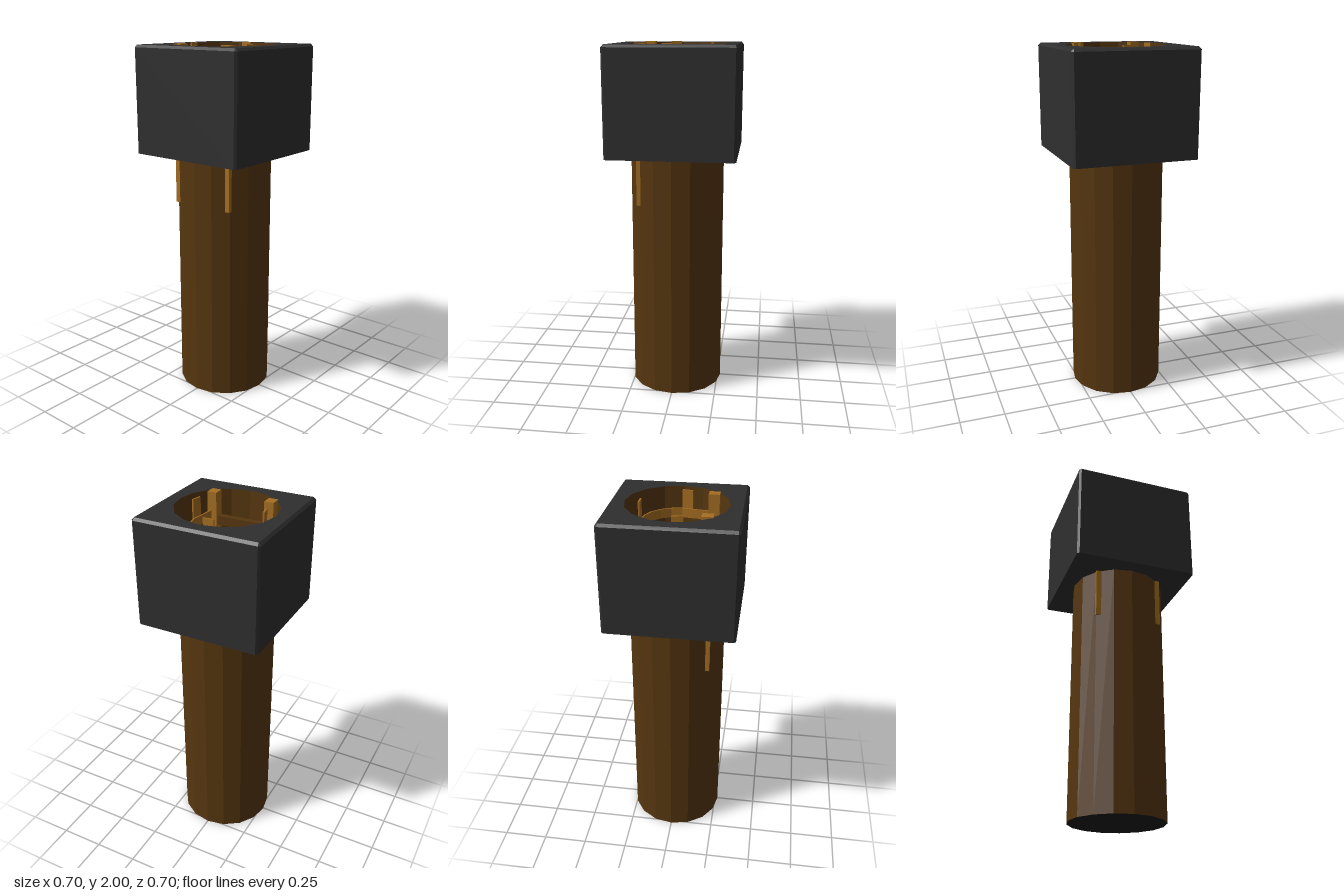
import * as THREE from 'three';

const mat = (name, color, extra = {}) =>
  Object.assign(new THREE.MeshStandardMaterial({ color, flatShading: true, ...extra }), { name });

export function createModel() {
  const charcoal = mat('charcoal', 0x2f2f2f);
  const black = mat('black', 0x1a1a1a);
  const brown = mat('brown', 0x56360f, { side: THREE.DoubleSide });
  const gold = mat('gold', 0xa56e22);

  const group = new THREE.Group();
  const add = (name, geo, material, x = 0, y = 0, z = 0) => {
    const mesh = new THREE.Mesh(geo, material);
    mesh.name = name;
    mesh.position.set(x, y, z);
    group.add(mesh);
    return mesh;
  };

  const SIDES = 16, TOP = 1.995, BASE = 1.4, RIM = 0.275, TUBE = 0.267;

  // Square outline with small cut corners, counter-clockwise
  const outline = (h, c) => [
    [h, -h + c], [h, h - c], [h - c, h], [-h + c, h],
    [-h, h - c], [-h, -h + c], [-h + c, -h], [h - c, -h],
  ];

  // Housing walls and top chamfer, lofted through three outlines
  const loops = [[BASE, 0.352, 0.012], [1.981, 0.352, 0.012], [TOP, 0.339, 0.002]]
    .map(([y, h, c]) => outline(h, c).map(([x, z]) => [x, y, z]));
  const pos = [];
  for (let r = 0; r < 2; r++) {
    for (let i = 0; i < 8; i++) {
      const j = (i + 1) % 8;
      const [a, b, c, d] = [loops[r][i], loops[r][j], loops[r + 1][j], loops[r + 1][i]];
      pos.push(...a, ...c, ...b, ...a, ...d, ...c);
    }
  }
  const walls = new THREE.BufferGeometry();
  walls.setAttribute('position', new THREE.Float32BufferAttribute(pos, 3));
  walls.computeVertexNormals();
  add('housingWalls', walls, charcoal);

  // Housing top with round opening, and closed underside
  const plate = (h, c) => new THREE.Shape(outline(h, c).map(([x, y]) => new THREE.Vector2(x, y)));
  const topShape = plate(0.339, 0.002);
  const hole = [];
  for (let i = 0; i < SIDES; i++) {
    const a = -i * Math.PI * 2 / SIDES;
    hole.push(new THREE.Vector2(Math.cos(a) * RIM, Math.sin(a) * RIM));
  }
  topShape.holes.push(new THREE.Path(hole));
  add('housingTop', new THREE.ShapeGeometry(topShape).rotateX(-Math.PI / 2), charcoal, 0, TOP);
  add('housingUnderside', new THREE.ShapeGeometry(plate(0.352, 0.012)).rotateX(Math.PI / 2), charcoal, 0, BASE);

  // Slightly tapered socket lining and its floor
  add('socketLining', new THREE.CylinderGeometry(RIM, TUBE, TOP - BASE, SIDES, 1, true), brown, 0, (TOP + BASE) / 2);
  add('socketFloor', new THREE.CircleGeometry(TUBE, SIDES).rotateX(-Math.PI / 2), charcoal, 0, BASE + 0.01);

  // Long faceted stem with a dark end
  add('stem', new THREE.CylinderGeometry(TUBE, TUBE, BASE, SIDES, 1, true), brown, 0, BASE / 2);
  add('stemEnd', new THREE.CircleGeometry(TUBE, SIDES).rotateX(Math.PI / 2), black);

  // Two long posts joined by a cross bar
  for (const s of [-1, 1]) {
    add(s > 0 ? 'frontPost' : 'backPost', new THREE.BoxGeometry(0.06, 0.885, 0.053), gold, -0.175, 1.5575, s * 0.167);
  }
  add('crossBar', new THREE.BoxGeometry(0.034, 0.05, 0.29), brown, -0.173, 1.845, 0);

  // Thin C-shaped band running from post to post
  const ring = (r) => {
    const pts = [new THREE.Vector2(-0.15, 0.98 * r - 0.016), new THREE.Vector2(-0.055, r - 0.01)];
    for (let i = 0; i <= 10; i++) {
      const a = Math.PI / 2 - i * Math.PI / 10;
      pts.push(new THREE.Vector2(Math.cos(a) * r, Math.sin(a) * r));
    }
    return pts.concat(pts.slice(0, 2).reverse().map((p) => new THREE.Vector2(p.x, -p.y)));
  };
  const band = new THREE.Shape([...ring(0.197), ...ring(0.189).reverse()]);
  add('band', new THREE.ExtrudeGeometry(band, { depth: 0.05, bevelEnabled: false }).rotateX(-Math.PI / 2), gold, 0, 1.85);

  // Three upright tabs on the band
  for (const [name, x, z, turn] of [
    ['rightTab', 0.196, 0, Math.PI / 2],
    ['backTab', -0.029, -0.199, 0.18],
    ['frontTab', -0.029, 0.196, -0.18],
  ]) {
    add(name, new THREE.BoxGeometry(0.06, 0.15, 0.009), gold, x, 1.925, z).rotation.y = turn;
  }
  return group;
}
